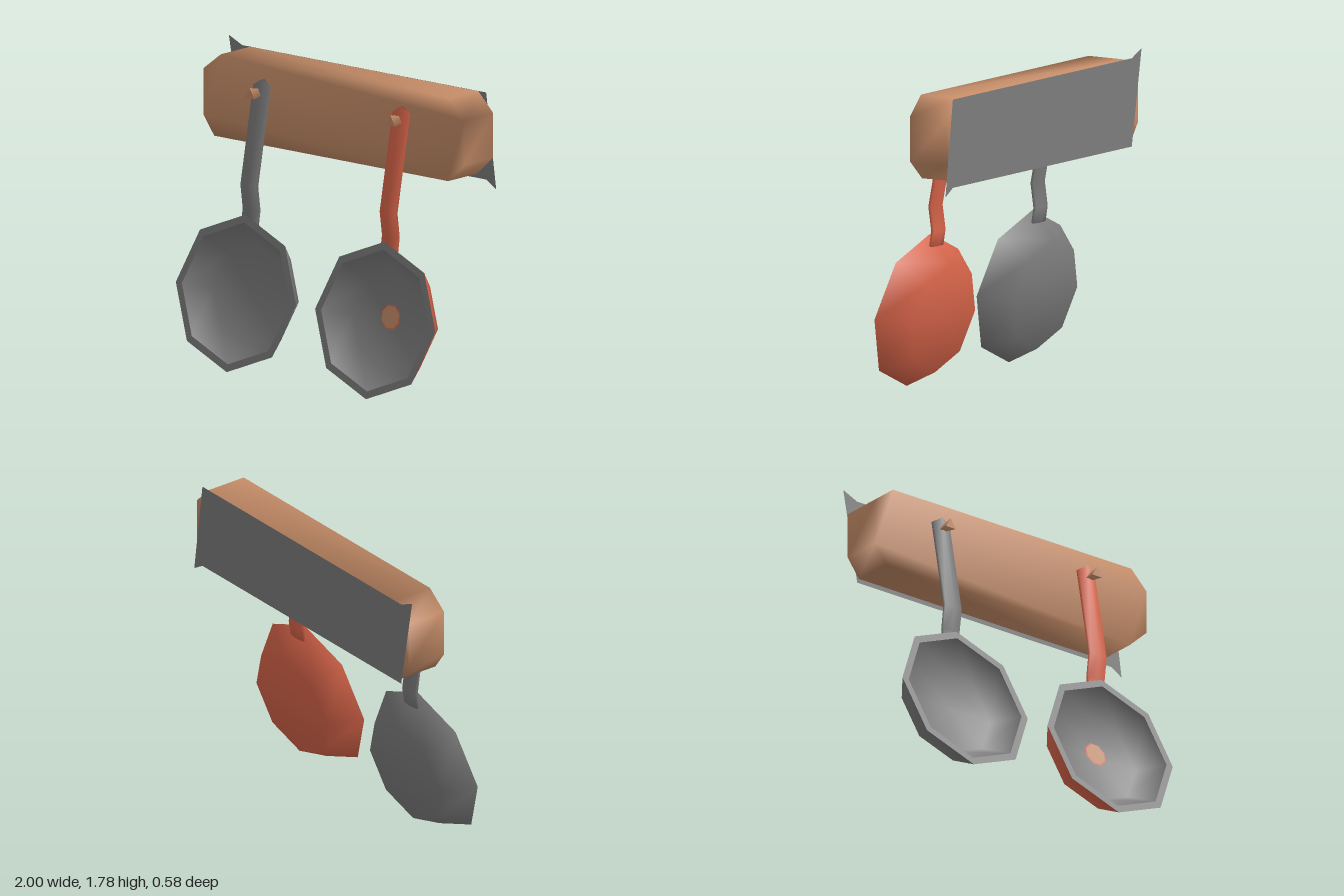
import * as THREE from 'three';
import { mergeVertices } from 'three/addons/utils/BufferGeometryUtils.js';

const material = (name, color, side = THREE.FrontSide) => {
  const m = new THREE.MeshStandardMaterial({ color, side });
  m.name = name;
  return m;
};

function addMesh(parent, name, geometry, mat, x = 0, y = 0, z = 0) {
  const mesh = new THREE.Mesh(geometry, mat);
  mesh.name = name;
  mesh.position.set(x, y, z);
  parent.add(mesh);
  return mesh;
}

const polygon = (points) => new THREE.Shape(points.map(([x, y]) => new THREE.Vector2(x, y)));

// Eight-sided surface of revolution from [radius, height] points
const octagonLathe = (points) =>
  new THREE.LatheGeometry(points.map(([r, y]) => new THREE.Vector2(r, y)), 8);

// Thick board with chamfered corners and normals smoothed over every edge
function boardGeometry() {
  const outline = polygon([
    [-0.97, 1.37], [-0.89, 1.26], [0.86, 1.26], [0.98, 1.37],
    [0.98, 1.63], [0.87, 1.74], [-0.84, 1.74], [-0.97, 1.64],
  ]);
  const extruded = new THREE.ExtrudeGeometry(outline, { depth: 0.25, bevelEnabled: false });
  extruded.deleteAttribute('normal');
  extruded.deleteAttribute('uv');
  const geometry = mergeVertices(extruded, 1e-4);
  geometry.computeVertexNormals();
  return geometry;
}

// Bent flat bar: six-sided sections placed down the path, peaked at the top
function handleGeometry() {
  const path = [[1.61, -0.015], [1.05, 0.095], [0.91, 0.075], [0.82, 0.09]];
  const positions = [], index = [];
  path.forEach(([y, z], row) => {
    for (let i = 0; i < 6; i++) {
      const a = (i * Math.PI) / 3;
      const peak = row === 0 && i % 3 === 0 ? 0.035 : 0;
      positions.push((0.058 * Math.sin(a)) / Math.sin(Math.PI / 3), y + peak, z + 0.02 * Math.cos(a));
      if (row < path.length - 1) {
        const p = row * 6 + i, q = row * 6 + ((i + 1) % 6);
        index.push(p, p + 6, q, q, p + 6, q + 6);
      }
    }
  });
  const last = (path.length - 1) * 6;
  for (let i = 1; i < 5; i++) index.push(0, i, i + 1, last, last + i + 1, last + i);
  const geometry = new THREE.BufferGeometry();
  geometry.setAttribute('position', new THREE.Float32BufferAttribute(positions, 3));
  geometry.setIndex(index);
  geometry.computeVertexNormals();
  return geometry;
}

export function createModel() {
  const model = new THREE.Group();
  model.name = 'panRack';
  const grey = material('grey metal', 0x7d7d7d);
  const plateGrey = material('plate grey', 0x7d7d7d, THREE.DoubleSide);
  const red = material('red enamel', 0xd9654a);
  const wood = material('wood', 0xc68d68);

  // Rack: wooden board and skewed sheet behind it
  addMesh(model, 'board', boardGeometry(), wood, 0, 0, -0.285);
  const plate = polygon([
    [-1, 1.785], [-0.9, 1.235], [0.925, 1.235], [1, 1.19], [0.925, 1.74], [-0.9, 1.74],
  ]);
  addMesh(model, 'backPlate', new THREE.ShapeGeometry(plate), plateGrey, 0, 0, -0.288);

  const barGeometry = handleGeometry();
  const pegGeometry = new THREE.CylinderGeometry(0.04, 0.014, 0.13, 3, 1, false, Math.PI)
    .rotateX(Math.PI / 2);

  for (const [side, x, coat] of [['right', -0.515, grey], ['left', 0.527, red]]) {
    // Peg and handle
    addMesh(model, side + 'Peg', pegGeometry, wood, x - 0.005 * Math.sign(-x), 1.572, 0.02);
    addMesh(model, side + 'Handle', barGeometry, coat, x);

    // Tilted pan: outside, rim and hollow
    const pan = new THREE.Group();
    pan.name = side + 'Pan';
    pan.position.set(x, 0.444, 0.21);
    pan.rotation.x = 1.392;
    model.add(pan);
    addMesh(pan, 'panOutside', octagonLathe([[0, -0.172], [0.323, -0.172], [0.45, 0]]), coat);
    addMesh(pan, 'panRim', octagonLathe([[0.45, 0], [0.405, 0]]), grey);
    addMesh(pan, 'panInside', octagonLathe([[0.405, 0], [0.285, -0.135], [0, -0.135]]), grey);

    // Worn spot in the middle of the red pan
    if (coat === red) {
      const spot = (r) => new THREE.CircleGeometry(r, 8, Math.PI / 8).rotateX(-Math.PI / 2);
      addMesh(pan, 'spotEdge', spot(0.074), red, 0, -0.132, -0.02);
      addMesh(pan, 'spotCentre', spot(0.067), wood, 0, -0.129, -0.02);
    }
  }
  return model;
}
